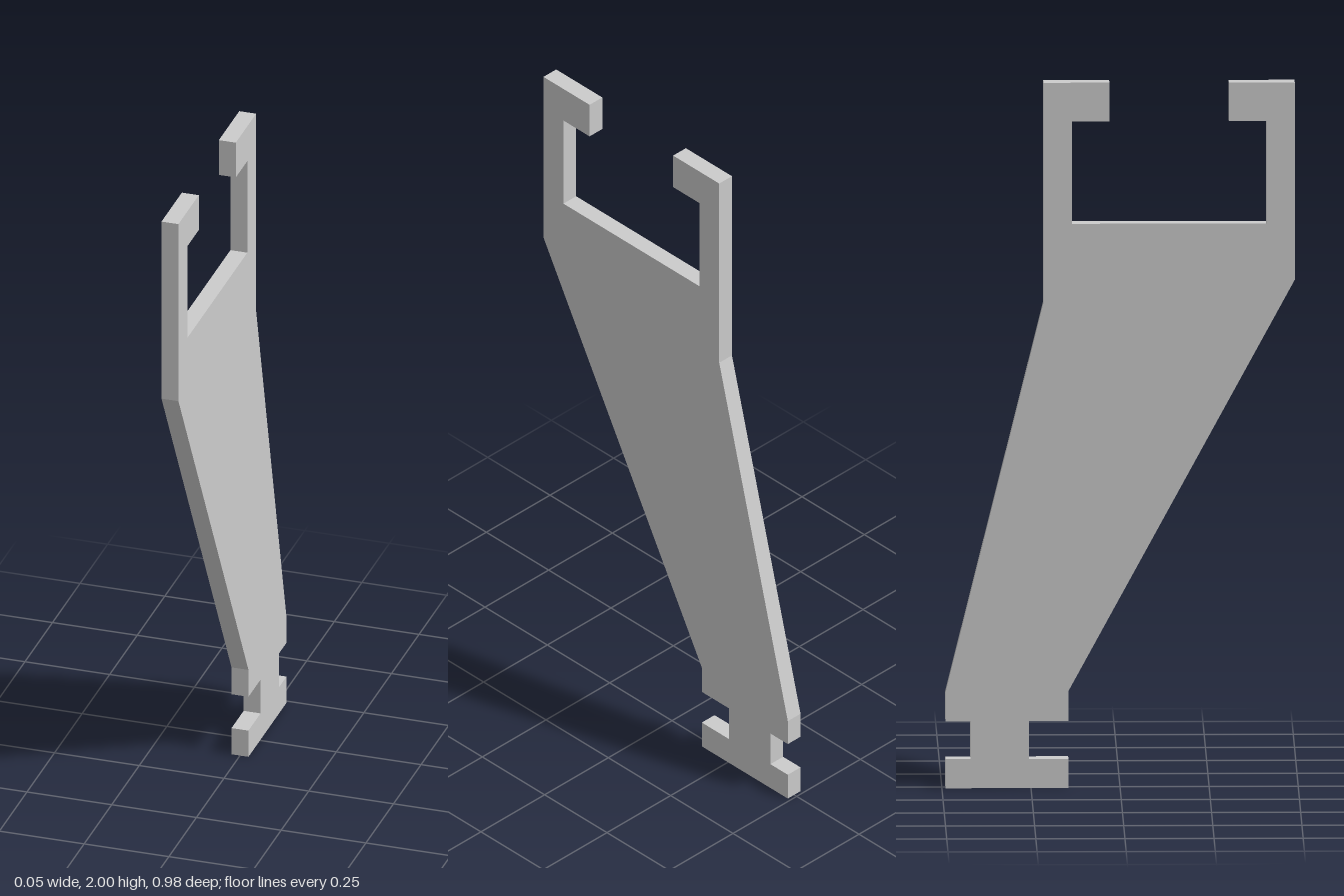
import * as THREE from 'three';

const THICKNESS = 0.05;

// Side outline as [z, y], counter-clockwise from the foot
const OUTLINE = [
  // foot, rear notch and rear edge
  [-0.49, 0], [-0.145, 0], [-0.145, 0.083], [-0.255, 0.083], [-0.255, 0.19], [-0.145, 0.19],
  // front edge of the tapered arm
  [-0.145, 0.275], [0.49, 1.44],
  // front hook, cradle floor, rear hook
  [0.49, 2], [0.305, 2], [0.305, 1.89], [0.41, 1.89], [0.41, 1.6],
  [-0.135, 1.6], [-0.135, 1.89], [-0.03, 1.89], [-0.03, 2], [-0.215, 2],
  // rear edge of the arm and rear notch
  [-0.215, 1.375], [-0.49, 0.27], [-0.49, 0.19], [-0.42, 0.19], [-0.42, 0.083], [-0.49, 0.083],
];

export function createModel() {
  const group = new THREE.Group();
  group.name = 'bracket';

  // Flat plate cut to the outline, then turned so its thickness runs along x
  const shape = new THREE.Shape(OUTLINE.map(([z, y]) => new THREE.Vector2(z, y)));
  const geometry = new THREE.ExtrudeGeometry(shape, { depth: THICKNESS, bevelEnabled: false });
  geometry.translate(0, 0, -THICKNESS / 2);
  geometry.rotateY(-Math.PI / 2);

  const plate = new THREE.Mesh(geometry, new THREE.MeshStandardMaterial({ color: 0xcccccc }));
  plate.name = 'hookedPlate';
  group.add(plate);
  return group;
}
